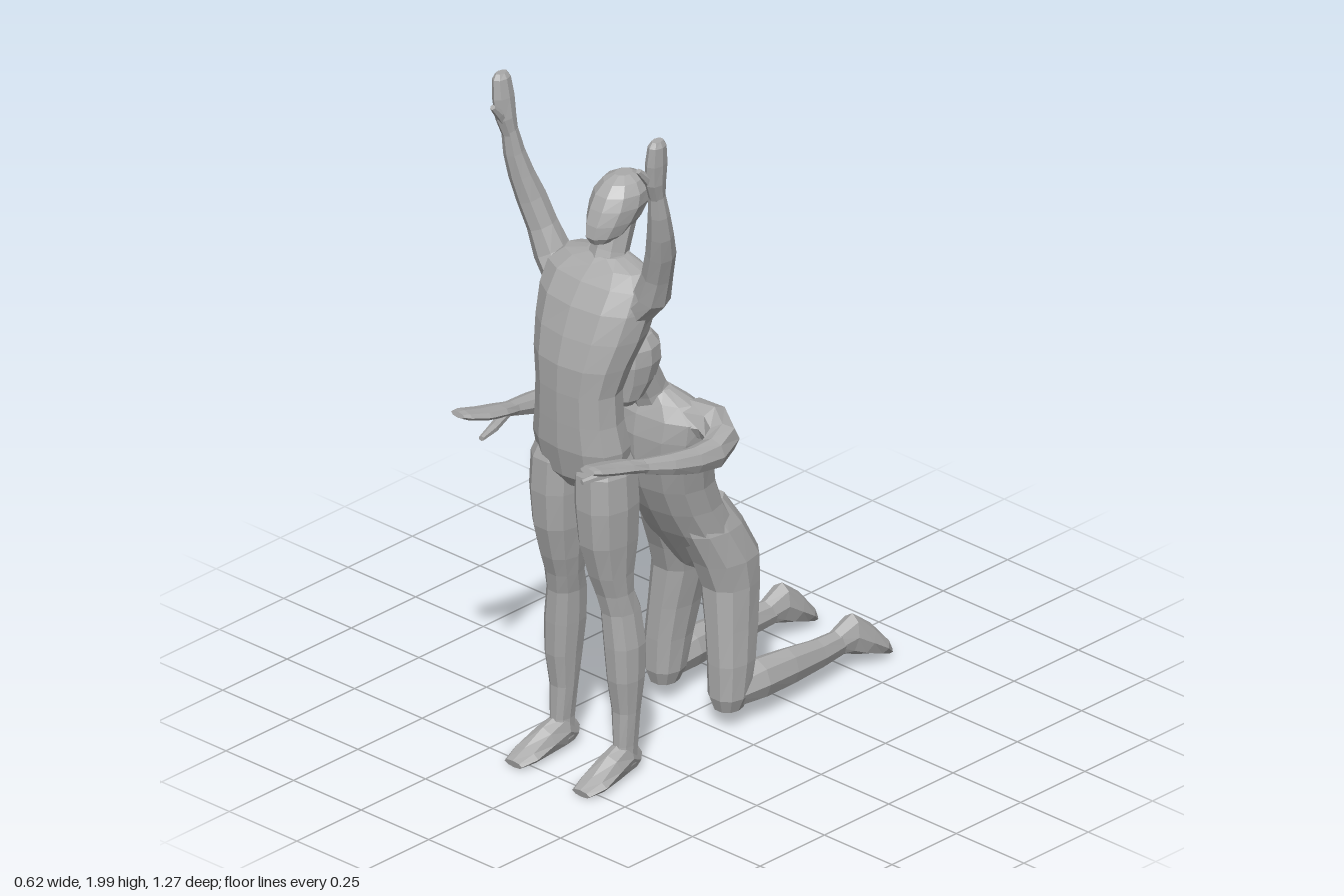
import * as THREE from 'three';

const V = (x, y, z) => new THREE.Vector3(x, y, z);

// Skin a list of rings (arrays of points running counter-clockwise about the direction of travel)
function skin(rings) {
  const n = rings[0].length, pos = [], idx = [];
  rings.forEach(r => r.forEach(p => pos.push(p.x, p.y, p.z)));
  for (let i = 0; i < rings.length - 1; i++) {
    for (let j = 0; j < n; j++) {
      const a = i * n + j, b = i * n + (j + 1) % n;
      idx.push(a, b, b + n, a, b + n, a + n);
    }
  }
  // end caps
  [0, rings.length - 1].forEach((k, end) => {
    const c = pos.length / 3, m = V(0, 0, 0);
    rings[k].forEach(p => m.addScaledVector(p, 1 / n));
    pos.push(m.x, m.y, m.z);
    for (let j = 0; j < n; j++) {
      const a = k * n + j, b = k * n + (j + 1) % n;
      if (end) idx.push(c, a, b); else idx.push(c, b, a);
    }
  });
  const g = new THREE.BufferGeometry();
  g.setAttribute('position', new THREE.Float32BufferAttribute(pos, 3));
  g.setIndex(idx);
  g.computeVertexNormals();
  return g;
}

// Horizontal slices from bottom to top: [y, centreX, halfWidth, zFront, zBack]
function slices(list, side = 1, n = 12, square = 0.88) {
  const sq = t => Math.sign(t) * Math.abs(t) ** square;
  return skin(list.map(([y, x, w, f, b]) => Array.from({ length: n }, (_, j) => {
    const a = (j / n) * Math.PI * 2;
    return V(side * x + w * sq(Math.cos(a)), y, (f + b) / 2 - (f - b) / 2 * sq(Math.sin(a)));
  })));
}

// Limb along a path: [x, y, z, half size along ref, half size across]
function limb(list, side = 1, ref = V(1, 0, 0), n = 8) {
  const c = list.map(s => V(side * s[0], s[1], s[2]));
  return skin(list.map((s, i) => {
    const t = c[Math.min(i + 1, c.length - 1)].clone().sub(c[Math.max(i - 1, 0)]).normalize();
    const u = ref.clone().addScaledVector(t, -ref.dot(t)).normalize();
    const v = t.clone().cross(u);
    return Array.from({ length: n }, (_, j) => {
      const a = (j / n) * Math.PI * 2;
      return c[i].clone().addScaledVector(u, s[3] * Math.cos(a)).addScaledVector(v, s[4] * Math.sin(a));
    });
  }));
}

export function createModel() {
  const root = new THREE.Group();
  const grey = new THREE.MeshStandardMaterial({ color: 0xaaaaaa, flatShading: true });
  grey.name = 'plain grey';
  const up = V(0, 1, 0);

  const figure = name => {
    const g = new THREE.Group();
    g.name = name;
    root.add(g);
    return (part, geo) => {
      const m = new THREE.Mesh(geo, grey);
      m.name = part;
      g.add(m);
    };
  };

  // Standing figure, arms raised
  const stand = figure('standingFigure');
  stand('torso', slices([
    [0.87, 0, 0.05, 0.45, 0.35], [0.91, 0, 0.14, 0.48, 0.315], [1.0, 0, 0.15, 0.5, 0.31],
    [1.08, 0, 0.136, 0.502, 0.325], [1.17, 0, 0.132, 0.503, 0.328], [1.25, 0, 0.15, 0.5, 0.295],
    [1.33, 0, 0.17, 0.48, 0.25], [1.41, 0, 0.182, 0.45, 0.23], [1.47, 0, 0.18, 0.41, 0.235],
    [1.505, 0, 0.14, 0.37, 0.25], [1.525, 0, 0.06, 0.35, 0.26]]));
  stand('neck', limb([[0, 1.46, 0.315, 0.065, 0.06], [0, 1.53, 0.295, 0.053, 0.053], [0, 1.62, 0.265, 0.052, 0.055]]));
  stand('head', slices([
    [1.565, 0, 0.028, 0.365, 0.28], [1.585, 0, 0.048, 0.378, 0.23], [1.62, 0, 0.062, 0.372, 0.19],
    [1.66, 0, 0.071, 0.355, 0.165], [1.695, 0, 0.068, 0.335, 0.165], [1.723, 0, 0.05, 0.305, 0.185],
    [1.738, 0, 0.022, 0.27, 0.215]], 1, 10, 1));

  // Kneeling figure, arms reaching forward
  const kneel = figure('kneelingFigure');
  kneel('torso', slices([
    [0.46, 0, 0.05, 0.0, -0.09], [0.52, 0, 0.13, 0.04, -0.13], [0.6, 0, 0.137, 0.095, -0.11],
    [0.68, 0, 0.13, 0.14, -0.07], [0.76, 0, 0.132, 0.175, -0.04], [0.85, 0, 0.148, 0.2, -0.022],
    [0.93, 0, 0.17, 0.205, -0.005], [0.99, 0, 0.178, 0.195, 0.02], [1.03, 0, 0.13, 0.175, 0.06],
    [1.06, 0, 0.06, 0.16, 0.095]]));
  kneel('neck', limb([[0, 1.0, 0.12, 0.065, 0.06], [0, 1.06, 0.15, 0.054, 0.052], [0, 1.14, 0.19, 0.052, 0.052]]));
  kneel('head', slices([
    [1.04, 0, 0.025, 0.265, 0.205], [1.06, 0, 0.043, 0.282, 0.18], [1.11, 0, 0.06, 0.287, 0.14],
    [1.165, 0, 0.071, 0.294, 0.12], [1.21, 0, 0.068, 0.285, 0.125], [1.24, 0, 0.05, 0.262, 0.15],
    [1.257, 0, 0.022, 0.23, 0.18]], 1, 10, 1));

  for (const [side, s] of [['left', 1], ['right', -1]]) {
    // raised arm with hand and thumb
    stand(side + 'Arm', limb([
      [0.135, 1.4, 0.33, 0.045, 0.06], [0.185, 1.465, 0.325, 0.05, 0.055], [0.213, 1.54, 0.335, 0.042, 0.045],
      [0.24, 1.62, 0.35, 0.041, 0.043], [0.257, 1.69, 0.37, 0.037, 0.036], [0.268, 1.76, 0.387, 0.03, 0.03],
      [0.272, 1.83, 0.4, 0.023, 0.023]], s));
    stand(side + 'Hand', limb([
      [0.271, 1.81, 0.397, 0.022, 0.022], [0.277, 1.87, 0.41, 0.026, 0.032], [0.283, 1.93, 0.413, 0.025, 0.036],
      [0.288, 1.985, 0.415, 0.021, 0.03], [0.289, 2.0, 0.415, 0.012, 0.02]], s));
    stand(side + 'Thumb', limb([
      [0.275, 1.84, 0.405, 0.014, 0.016], [0.272, 1.89, 0.44, 0.014, 0.014], [0.27, 1.92, 0.468, 0.008, 0.008]], s, undefined, 6));

    // straight leg and foot
    stand(side + 'Leg', slices([
      [0.04, 0.115, 0.03, 0.4, 0.325], [0.1, 0.117, 0.029, 0.395, 0.32], [0.2, 0.115, 0.037, 0.393, 0.315],
      [0.3, 0.115, 0.046, 0.41, 0.3], [0.4, 0.11, 0.051, 0.415, 0.292], [0.5, 0.1, 0.048, 0.417, 0.3],
      [0.56, 0.092, 0.051, 0.43, 0.322], [0.62, 0.088, 0.058, 0.452, 0.32], [0.72, 0.085, 0.07, 0.48, 0.303],
      [0.83, 0.084, 0.077, 0.49, 0.3], [0.93, 0.08, 0.076, 0.487, 0.305], [1.0, 0.07, 0.06, 0.46, 0.33]], s, 10));
    stand(side + 'Foot', limb([
      [0.115, 0.04, 0.318, 0.022, 0.03], [0.115, 0.062, 0.36, 0.034, 0.056], [0.12, 0.048, 0.42, 0.041, 0.042],
      [0.125, 0.028, 0.49, 0.047, 0.022], [0.125, 0.017, 0.54, 0.032, 0.011]], s));

    // bent arm reaching forward, hand and thumb
    kneel(side + 'Arm', limb([
      [0.11, 0.985, 0.1, 0.05, 0.07], [0.18, 0.985, 0.085, 0.052, 0.055], [0.235, 0.965, 0.105, 0.054, 0.046],
      [0.258, 0.952, 0.17, 0.046, 0.042], [0.263, 0.962, 0.25, 0.038, 0.038], [0.258, 0.982, 0.34, 0.03, 0.034],
      [0.245, 1.005, 0.43, 0.021, 0.025]], s, up));
    kneel(side + 'Hand', limb([
      [0.247, 1.0, 0.41, 0.02, 0.025], [0.237, 1.022, 0.48, 0.017, 0.036], [0.234, 1.04, 0.55, 0.015, 0.04],
      [0.239, 1.06, 0.615, 0.012, 0.036], [0.24, 1.066, 0.635, 0.008, 0.026]], s, up));
    kneel(side + 'Thumb', limb([
      [0.228, 1.01, 0.46, 0.012, 0.016], [0.2, 1.004, 0.54, 0.013, 0.014], [0.186, 1.0, 0.6, 0.008, 0.008]], s, up, 6));

    // thigh and buttock, then shin and foot lying back along the ground
    kneel(side + 'Thigh', slices([
      [0.06, 0.118, 0.038, 0.0, -0.08], [0.1, 0.118, 0.054, 0.014, -0.1], [0.2, 0.115, 0.059, 0.015, -0.125],
      [0.3, 0.105, 0.063, 0.012, -0.145], [0.42, 0.09, 0.073, 0.008, -0.162], [0.5, 0.082, 0.079, 0.035, -0.168],
      [0.6, 0.07, 0.07, 0.08, -0.122], [0.68, 0.055, 0.05, 0.1, -0.075]], s, 10));
    kneel(side + 'Shin', limb([
      [0.12, 0.105, -0.02, 0.045, 0.045], [0.13, 0.112, -0.14, 0.055, 0.058], [0.135, 0.108, -0.25, 0.046, 0.054],
      [0.132, 0.1, -0.37, 0.037, 0.043], [0.128, 0.1, -0.47, 0.03, 0.037]], s));
    kneel(side + 'Foot', limb([
      [0.128, 0.1, -0.44, 0.028, 0.035], [0.13, 0.112, -0.5, 0.038, 0.058], [0.134, 0.08, -0.55, 0.044, 0.046],
      [0.138, 0.047, -0.6, 0.044, 0.028], [0.138, 0.022, -0.628, 0.03, 0.013]], s));
  }
  return root;
}
